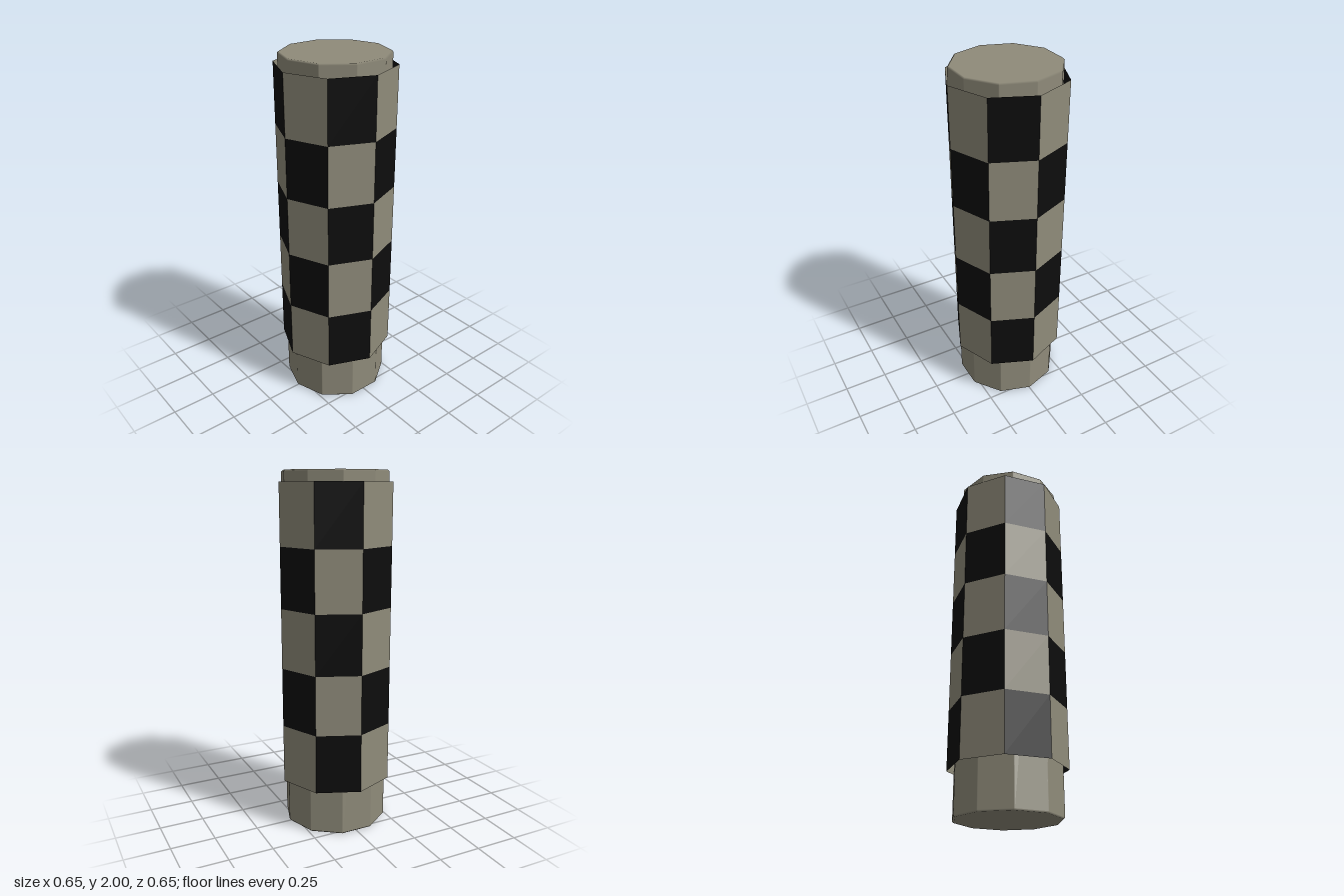
import * as THREE from 'three';
import { mergeGeometries } from 'three/addons/utils/BufferGeometryUtils.js';

const SIDES = 10, APOTHEM = 0.281, BEVEL = 0.008, HEIGHT = 2;

// Ten-sided core with bevelled edges; flat sides keep their own normals and bevels blend between them.
function bevelledPrism() {
  const positions = [], normals = [], index = [];
  const step = (Math.PI * 2) / SIDES, n = SIDES * 2;
  const halfEdge = (APOTHEM - BEVEL) * Math.tan(step / 2);

  const addRing = (apothem, y, capNormal) => {
    for (let i = 0; i < SIDES; i++) {
      const a = i * step, s = Math.sin(a), c = Math.cos(a);
      for (const w of [-halfEdge, halfEdge]) {
        positions.push(s * apothem + c * w, y, c * apothem - s * w);
        if (capNormal) normals.push(0, capNormal, 0);
        else normals.push(s, 0, c);
      }
    }
  };
  addRing(APOTHEM - BEVEL, 0, -1);
  addRing(APOTHEM, BEVEL, 0);
  addRing(APOTHEM, HEIGHT - BEVEL, 0);
  addRing(APOTHEM - BEVEL, HEIGHT, 1);

  // Sides and bevels
  for (let r = 0; r < 3; r++) {
    for (let i = 0; i < n; i++) {
      const a = r * n + i, b = r * n + ((i + 1) % n);
      index.push(a, b, b + n, a, b + n, a + n);
    }
  }
  // End caps
  for (let i = 1; i < n - 1; i++) {
    index.push(0, i + 1, i);
    index.push(3 * n, 3 * n + i, 3 * n + i + 1);
  }
  const geometry = new THREE.BufferGeometry();
  geometry.setAttribute('position', new THREE.Float32BufferAttribute(positions, 3));
  geometry.setAttribute('normal', new THREE.Float32BufferAttribute(normals, 3));
  geometry.setIndex(index);
  return geometry;
}

// One flat panel of the eight-sided sleeve
function sleevePanel(column, row) {
  const radius = 0.325, bottom = 0.26, height = 0.336, angle = Math.PI / 4;
  const panel = new THREE.CylinderGeometry(radius, radius, height, 1, 1, true, column * angle, angle);
  panel.translate(0, bottom + (row + 0.5) * height, 0);
  const flat = panel.toNonIndexed();
  flat.computeVertexNormals();
  return flat;
}

export function createModel() {
  const khaki = new THREE.MeshStandardMaterial({ color: 0x8f8b7a, side: THREE.DoubleSide });
  khaki.name = 'khaki';
  const black = new THREE.MeshStandardMaterial({ color: 0x0d0d0d, side: THREE.DoubleSide });
  black.name = 'black';

  const model = new THREE.Group();
  model.name = 'checkeredCylinder';

  const core = new THREE.Mesh(bevelledPrism(), khaki);
  core.name = 'core';
  model.add(core);

  // Open checkered sleeve around the core
  const light = [], dark = [];
  for (let row = 0; row < 5; row++) {
    for (let column = 0; column < 8; column++) {
      ((row + column) % 2 ? dark : light).push(sleevePanel(column, row));
    }
  }
  const sleeve = new THREE.Group();
  sleeve.name = 'sleeve';
  const lightPanels = new THREE.Mesh(mergeGeometries(light), khaki);
  lightPanels.name = 'lightPanels';
  const darkPanels = new THREE.Mesh(mergeGeometries(dark), black);
  darkPanels.name = 'darkPanels';
  sleeve.add(lightPanels, darkPanels);
  model.add(sleeve);

  return model;
}
